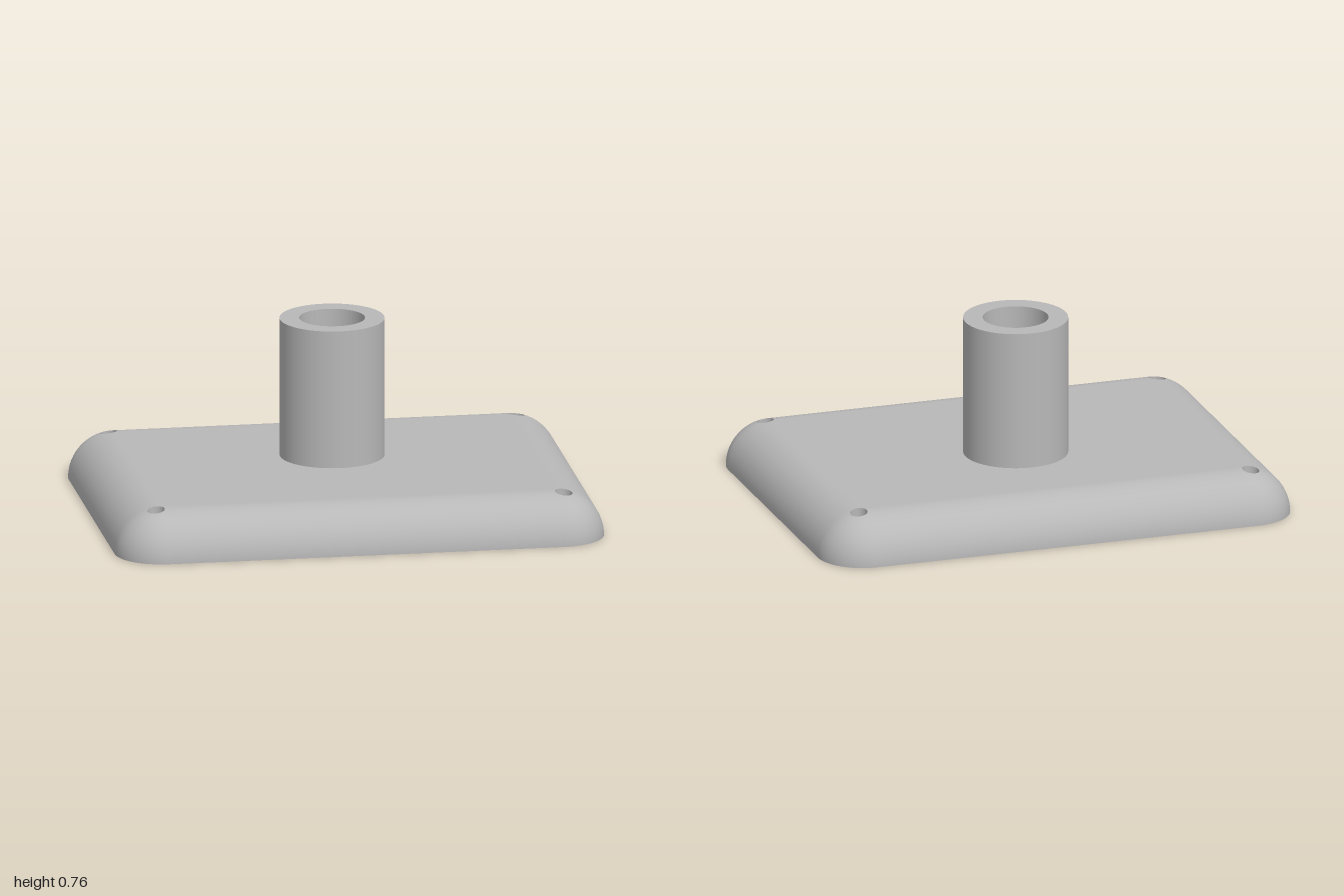
import * as THREE from 'three';
import { mergeGeometries } from 'three/addons/utils/BufferGeometryUtils.js';

const OUTER = 0.19, INNER = 0.14;            // edge radii of the outside and inside skins
const CX = 0.81, CZ = 0.5725;                // centres of the rounded corners
const FX = 0.76, FZ = 0.5225;                // half size of the flat middle panel
const SCREW = { x: 0.834, z: 0.597, r: 0.035 };
const TUBE = { z: -0.0975, r: 0.2125, bore: 0.133, top: 0.7625 };

// Point and normal of a rounded skin of radius R above plan position x, z
function skin(x, z, R, side) {
  const dx = Math.sign(x) * Math.max(0, Math.abs(x) - CX);
  const dz = Math.sign(z) * Math.max(0, Math.abs(z) - CZ);
  const y = Math.sqrt(Math.max(0, R * R - dx * dx - dz * dz));
  const n = new THREE.Vector3(dx, y, dz).normalize().multiplyScalar(side);
  return { p: new THREE.Vector3(x, y, z), n };
}

// Joins rows of points into a surface, each triangle facing along its normals
function surface(rows) {
  const pos = [], nor = [], index = [], w = rows[0].length, flat = rows.flat();
  for (const { p, n } of flat) { pos.push(p.x, p.y, p.z); nor.push(n.x, n.y, n.z); }
  const ab = new THREE.Vector3(), ac = new THREE.Vector3();
  const tri = (a, b, c) => {
    ab.subVectors(flat[b].p, flat[a].p);
    ac.subVectors(flat[c].p, flat[a].p);
    const mean = flat[a].n.clone().add(flat[b].n).add(flat[c].n);
    if (ab.cross(ac).dot(mean) < 0) index.push(a, c, b); else index.push(a, b, c);
  };
  for (let i = 0; i < rows.length - 1; i++) {
    for (let j = 0; j < w - 1; j++) {
      const a = i * w + j;
      tri(a, a + 1, a + w + 1);
      tri(a, a + w + 1, a + w);
    }
  }
  const g = new THREE.BufferGeometry();
  g.setAttribute('position', new THREE.Float32BufferAttribute(pos, 3));
  g.setAttribute('normal', new THREE.Float32BufferAttribute(nor, 3));
  g.setIndex(index);
  return g;
}

// Closed outline through corner points, each side split into n steps
function subdivide(points, n) {
  const out = [];
  points.forEach(([x, z], i) => {
    const [x2, z2] = points[(i + 1) % points.length];
    for (let k = 0; k < n; k++) out.push([x + (x2 - x) * k / n, z + (z2 - z) * k / n]);
  });
  out.push(points[0]);
  return out;
}

// Rim of a round hole, aligned with the outline around it
const holeRim = (outline, cx, cz, r) => outline.map(([x, z]) => {
  const d = Math.hypot(x - cx, z - cz);
  return [cx + (x - cx) * r / d, cz + (z - cz) * r / d];
});

// Skin spreading from a round hole to an outline
function skinAroundHole(outline, cx, cz, r, R, side, steps) {
  const rim = holeRim(outline, cx, cz, r), rows = [];
  for (let i = 0; i <= steps; i++) {
    const s = Math.sin(i / steps * Math.PI / 2);
    rows.push(outline.map(([x, z], j) =>
      skin(rim[j][0] + (x - rim[j][0]) * s, rim[j][1] + (z - rim[j][1]) * s, R, side)));
  }
  return surface(rows);
}

// Offsets across a rounded edge, from its flat start to its foot
const ARC = 14;
const edge = (R) => Array.from({ length: ARC + 1 }, (_, i) => R * Math.sin(i / ARC * Math.PI / 2));

// Plan outline of one corner piece
function cornerOutline(R, sx, sz) {
  const pts = edge(R).map((d) => [FX, CZ + d]);
  for (let i = 0; i <= 20; i++) {
    const t = Math.PI / 2 * (1 - i / 20);
    pts.push([CX + R * Math.cos(t), CZ + R * Math.sin(t)]);
  }
  pts.push(...edge(R).reverse().map((d) => [CX + d, FZ]));
  for (let i = 1; i <= 6; i++) pts.push([CX + (FX - CX) * i / 6, FZ]);
  for (let i = 1; i <= 6; i++) pts.push([FX, FZ + (CZ - FZ) * i / 6]);
  return pts.map(([x, z]) => [x * sx, z * sz]);
}

// Complete skin: panel, four edges and four corners
function shellSkin(R, side, holeRadius) {
  const panel = subdivide([[FX, FZ], [FX, -FZ], [-FX, -FZ], [-FX, FZ]], 24);
  const parts = [skinAroundHole(panel, 0, TUBE.z, holeRadius, R, side, 1)];
  for (const s of [-1, 1]) {
    const across = (flat, c) => [flat, ...edge(R).map((d) => c + d)];
    parts.push(surface(across(FZ, CZ).map((z) => [-FX, FX].map((x) => skin(x, z * s, R, side)))));
    parts.push(surface(across(FX, CX).map((x) => [-FZ, FZ].map((z) => skin(x * s, z, R, side)))));
    for (const t of [-1, 1]) {
      parts.push(skinAroundHole(cornerOutline(R, s, t), SCREW.x * s, SCREW.z * t, SCREW.r, R, side, 14));
    }
  }
  return mergeGeometries(parts);
}

// Wall of a screw hole between the two skins
function screwWall(sx, sz) {
  const cx = SCREW.x * sx, cz = SCREW.z * sz;
  const rim = holeRim(cornerOutline(OUTER, sx, sz), cx, cz, SCREW.r);
  return surface([OUTER, INNER].map((R) => rim.map(([x, z]) => ({
    p: skin(x, z, R, 1).p,
    n: new THREE.Vector3(cx - x, 0, cz - z).normalize(),
  }))));
}

// Rounded rectangle for the foot of the shell
function roundedOutline(path, R) {
  path.absarc(CX, CZ, R, 0, Math.PI / 2);
  path.absarc(-CX, CZ, R, Math.PI / 2, Math.PI);
  path.absarc(-CX, -CZ, R, Math.PI, Math.PI * 1.5);
  path.absarc(CX, -CZ, R, Math.PI * 1.5, Math.PI * 2);
  return path;
}

export function createModel() {
  const group = new THREE.Group();
  const grey = new THREE.MeshStandardMaterial({ color: 0xb8b8b8 });
  grey.name = 'grey';
  const add = (name, geometry) => {
    const mesh = new THREE.Mesh(geometry, grey);
    mesh.name = name;
    group.add(mesh);
    return mesh;
  };

  // Hollow base
  add('baseOutside', shellSkin(OUTER, 1, (TUBE.r + TUBE.bore) / 2));
  add('baseInside', shellSkin(INNER, -1, TUBE.bore));
  const foot = roundedOutline(new THREE.Shape(), OUTER);
  foot.holes.push(roundedOutline(new THREE.Path(), INNER));
  add('baseRim', new THREE.ShapeGeometry(foot, 20).rotateX(Math.PI / 2));
  for (const sx of [-1, 1]) for (const sz of [-1, 1]) add('screwHole', screwWall(sx, sz));

  // Upright tube, with its bore running through the base
  const profile = [[TUBE.r, OUTER], [TUBE.r, TUBE.top], [TUBE.bore, TUBE.top], [TUBE.bore, INNER]]
    .map(([x, y]) => new THREE.Vector2(x, y));
  ['tubeOutside', 'tubeTop', 'tubeBore'].forEach((name, i) => {
    add(name, new THREE.LatheGeometry(profile.slice(i, i + 2), 72)).position.z = TUBE.z;
  });
  return group;
}
